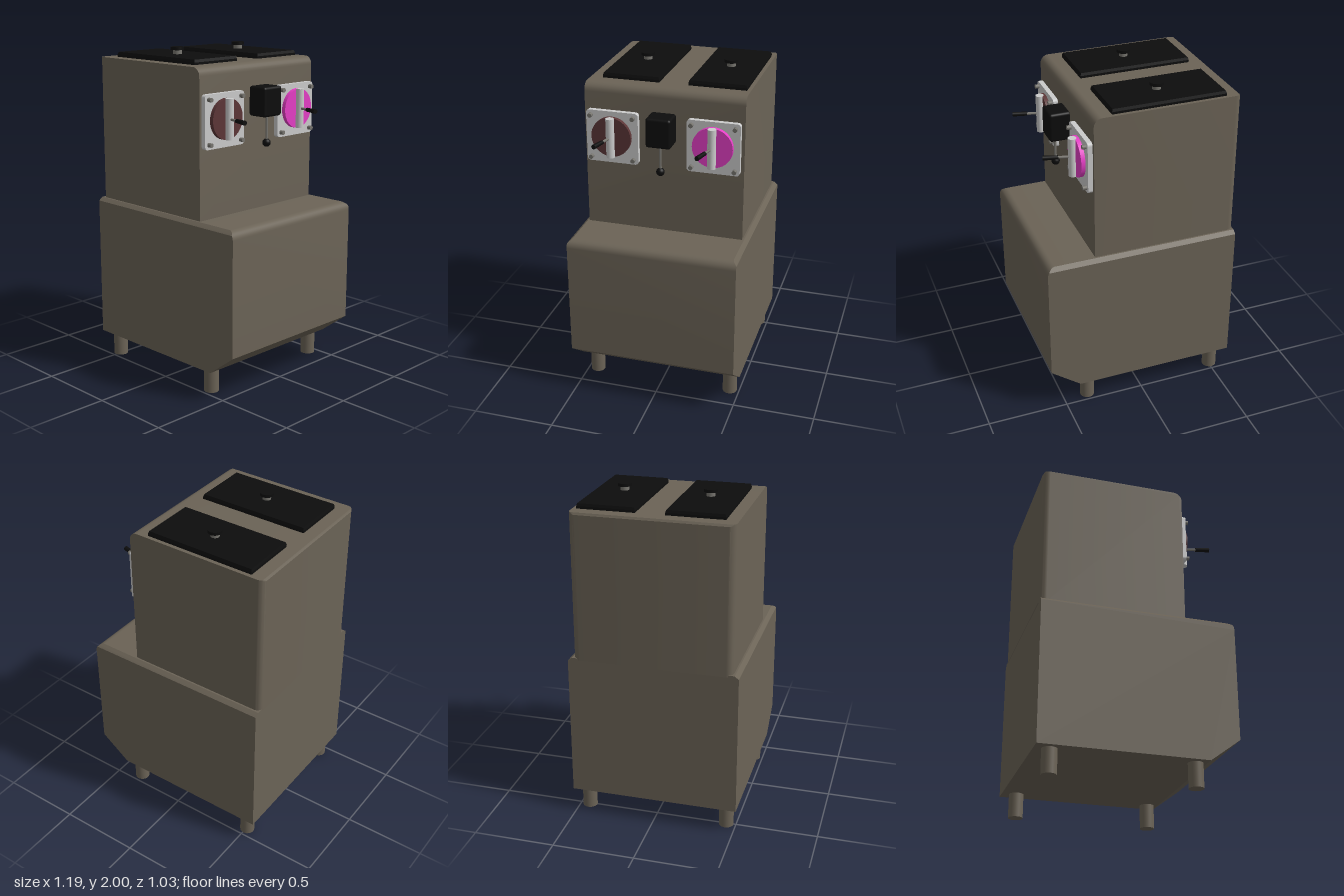
import * as THREE from 'three';
import { toCreasedNormals } from 'three/addons/utils/BufferGeometryUtils.js';
import { ConvexGeometry } from 'three/addons/geometries/ConvexGeometry.js';
import { RoundedBoxGeometry } from 'three/addons/geometries/RoundedBoxGeometry.js';

const paint = (color) => new THREE.MeshStandardMaterial({ color });
const BODY = paint(0x6b6356), BLACK = paint(0x0d0d0d), GREY = paint(0xcccccc);
const STEEL = paint(0x77756f), PINK = paint(0xe63fc6), BROWN = paint(0x5c3637);

function add(parent, name, geometry, material, x = 0, y = 0, z = 0) {
  const mesh = new THREE.Mesh(geometry, material);
  mesh.name = name;
  mesh.position.set(x, y, z);
  parent.add(mesh);
  return mesh;
}

const rod = (r, length, sides = 24) => new THREE.CylinderGeometry(r, r, length, sides);
// Cylinder whose axis points along x
const disc = (r, length, sides = 32) => rod(r, length, sides).rotateZ(-Math.PI / 2);

// Quarter arc as [u, v] points
function arc(cu, cv, r, from, steps = 8) {
  return Array.from({ length: steps + 1 }, (_, i) => {
    const a = from + (i / steps) * Math.PI / 2;
    return [cu + r * Math.cos(a), cv + r * Math.sin(a)];
  });
}

const hull = (points) => toCreasedNormals(new ConvexGeometry(points), 0.4);

// Lower cabinet: rounded front top edge, sloped toe, bevelled top sides
function lowerCabinet() {
  const bevelY = 1.022, top = 1.042;
  const profile = [[-0.595, 0.15], [0.41, 0.15], [0.595, 0.29], [-0.595, bevelY], [-0.595, top],
    ...arc(0.545, top - 0.05, 0.05, 0)];
  const points = [];
  for (const [x, y] of profile) {
    const z = 0.515 - Math.max(0, y - bevelY) * 1.25;
    points.push(new THREE.Vector3(x, y, z), new THREE.Vector3(x, y, -z));
  }
  return hull(points);
}

// Upper cabinet: rounded rear corners and rounded front top edge
function upperCabinet() {
  const top = 1.927, points = [];
  const both = (x, y, z) => points.push(new THREE.Vector3(x, y, z), new THREE.Vector3(x, y, -z));
  for (const [x, z] of arc(-0.557, 0.44, 0.04, Math.PI / 2)) {
    both(x, 1.03, z);
    both(x, top - 0.012, z);
    both(Math.max(x, -0.587), top, z);
  }
  both(0.295, 1.03, 0.48);
  for (const [x, y] of arc(0.245, top - 0.05, 0.05, 0)) both(x, y, 0.48);
  return hull(points);
}

// Hopper lid with slightly tapered rim and a knob
function lid(z) {
  const g = new THREE.Group();
  g.name = 'hopperLid';
  g.position.set(-0.165, 1.925, z);
  const panel = new THREE.BoxGeometry(0.69, 0.016, 0.344);
  add(g, 'lidRim', panel, BLACK, 0, 0.008, 0);
  const top = new THREE.BoxGeometry(0.69, 0.016, 0.344);
  const p = top.attributes.position;
  for (let i = 0; i < p.count; i++) {
    if (p.getY(i) > 0) {
      p.setX(i, p.getX(i) * 0.985);
      p.setZ(i, p.getZ(i) * 0.97);
    }
  }
  top.computeVertexNormals();
  add(g, 'lidTop', top, BLACK, 0, 0.024, 0);
  add(g, 'knobStem', rod(0.026, 0.028), STEEL, 0.012, 0.045, 0);
  add(g, 'knobCap', rod(0.041, 0.018), BLACK, 0.012, 0.066, 0);
  return g;
}

// Square mounting plate with rounded corners, facing +x
function plateGeometry(half, r, depth) {
  const s = new THREE.Shape();
  const c = half - r;
  s.absarc(c, c, r, 0, Math.PI / 2);
  s.absarc(-c, c, r, Math.PI / 2, Math.PI);
  s.absarc(-c, -c, r, Math.PI, Math.PI * 1.5);
  s.absarc(c, -c, r, Math.PI * 1.5, Math.PI * 2);
  const geo = new THREE.ExtrudeGeometry(s, { depth, bevelEnabled: false, curveSegments: 6 });
  return geo.rotateY(Math.PI / 2);
}

// Dispensing valve: plate, coloured disc, upright barrel and crank
function valve(z, material) {
  const g = new THREE.Group();
  g.name = 'valve';
  g.position.set(0.29, 1.62, z);
  add(g, 'valvePlate', plateGeometry(0.158, 0.02, 0.034), GREY, 0, -0.003, 0);
  for (const sy of [-1, 1]) for (const sz of [-1, 1]) {
    add(g, 'plateScrew', disc(0.013, 0.03, 16), STEEL, 0.044, -0.003 + sy * 0.129, sz * 0.129);
  }
  add(g, 'valveDisc', disc(0.12, 0.03, 48), material, 0.044, 0.005, 0);
  add(g, 'valveBarrel', rod(0.025, 0.238), GREY, 0.071, 0.006, 0);
  const crank = new THREE.Group();
  crank.name = 'crank';
  crank.position.set(0.071, 0.007, 0);
  crank.rotation.y = -0.26;
  add(crank, 'crankArm', disc(0.008, 0.09, 12), STEEL, 0.045, 0, 0);
  const grip = new THREE.CylinderGeometry(0.014, 0.012, 0.088, 16).rotateZ(-Math.PI / 2);
  add(crank, 'crankGrip', grip, BLACK, 0.124, 0, 0);
  g.add(crank);
  return g;
}

export function createModel() {
  const model = new THREE.Group();
  model.name = 'dispenserMachine';

  add(model, 'lowerCabinet', lowerCabinet(), BODY);
  add(model, 'upperCabinet', upperCabinet(), BODY);
  for (const x of [-0.505, 0.345]) for (const z of [-0.44, 0.44]) {
    add(model, 'foot', rod(0.045, 0.16), BODY, x, 0.08, z);
  }

  for (const z of [0.234, -0.285]) model.add(lid(z));
  model.add(valve(0.306, BROWN), valve(-0.302, PINK));

  // Central switch box with hanging lever
  const box = new THREE.Group();
  box.name = 'switchBox';
  add(box, 'switchHousing', new RoundedBoxGeometry(0.13, 0.177, 0.15, 3, 0.016), BLACK, 0.354, 1.702, 0);
  add(box, 'leverRod', rod(0.008, 0.17, 12), STEEL, 0.367, 1.54, 0);
  add(box, 'leverBall', new THREE.SphereGeometry(0.025, 20, 14), BLACK, 0.367, 1.453, 0);
  model.add(box);

  return model;
}
